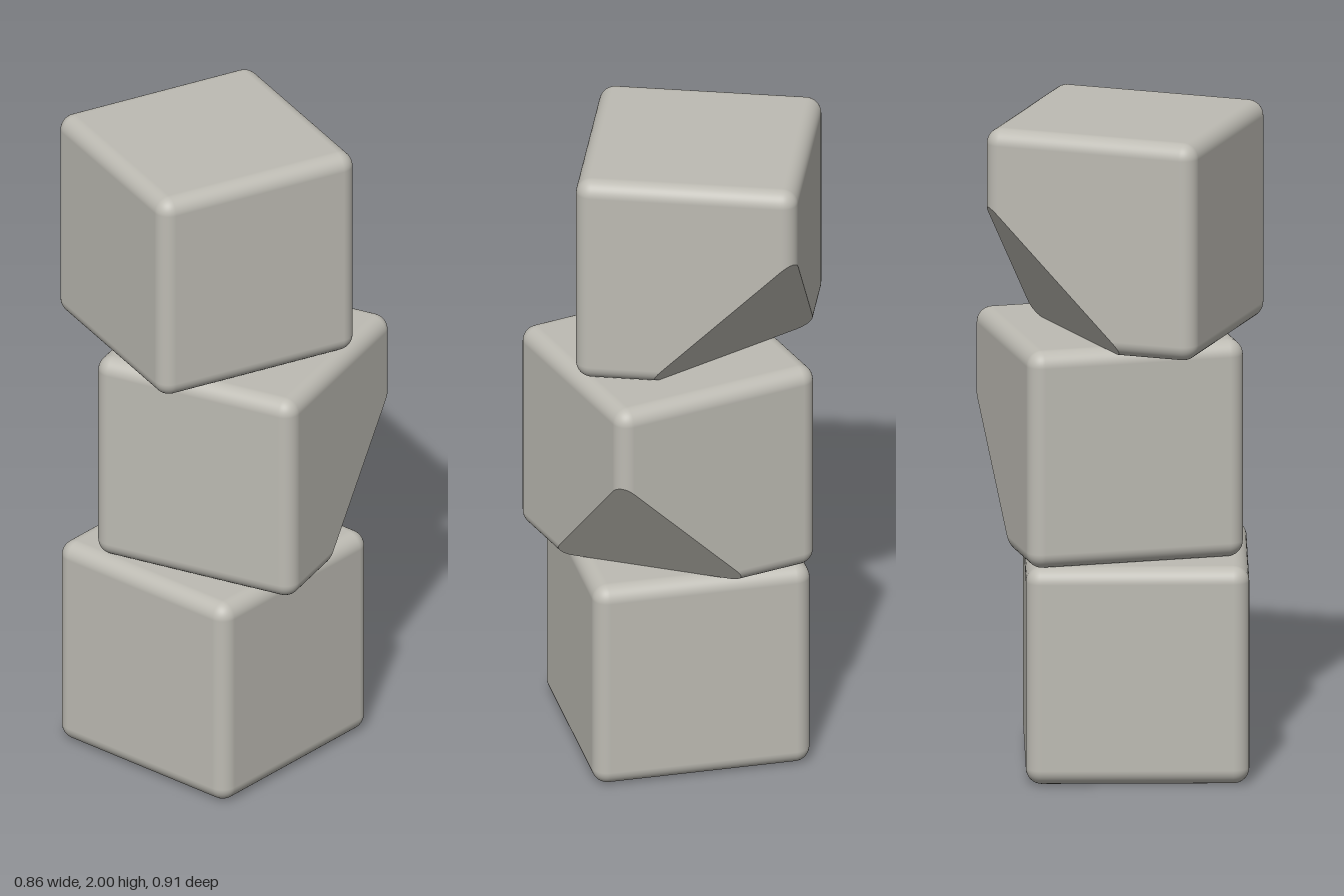
import * as THREE from 'three';
import { RoundedBoxGeometry } from 'three/addons/geometries/RoundedBoxGeometry.js';

const SIZE = 0.667;
const RADIUS = 0.048;

// Slices one corner off a rounded block and closes the hole with a flat cap.
function chipCorner(source, corner, depth) {
  const geo = source.index ? source.toNonIndexed() : source;
  const normal = corner.clone().normalize();
  const limit = (1.5 * SIZE - depth) / Math.sqrt(3);
  const p = geo.attributes.position, n = geo.attributes.normal;
  const positions = [], normals = [], rim = [];
  const push = (v) => {
    positions.push(...v.pos.toArray());
    normals.push(...v.nor.toArray());
  };

  // Clip every triangle against the cutting plane
  for (let i = 0; i < p.count; i += 3) {
    const tri = [0, 1, 2].map((k) => {
      const pos = new THREE.Vector3().fromBufferAttribute(p, i + k);
      const nor = new THREE.Vector3().fromBufferAttribute(n, i + k);
      return { pos, nor, d: pos.dot(normal) - limit };
    });
    const poly = [];
    tri.forEach((a, k) => {
      const b = tri[(k + 1) % 3];
      if (a.d <= 0) poly.push(a);
      if ((a.d <= 0) !== (b.d <= 0)) {
        const t = a.d / (a.d - b.d);
        const pos = a.pos.clone().lerp(b.pos, t);
        poly.push({ pos, nor: a.nor.clone().lerp(b.nor, t).normalize() });
        rim.push(pos);
      }
    });
    for (let k = 1; k + 1 < poly.length; k++) [poly[0], poly[k], poly[k + 1]].forEach(push);
  }

  // Fan the cap around the middle of the rim
  const centre = rim.reduce((s, v) => s.add(v), new THREE.Vector3()).divideScalar(rim.length);
  const u = rim[0].clone().sub(centre).normalize();
  const w = normal.clone().cross(u);
  const angle = (v) => {
    const r = v.clone().sub(centre);
    return Math.atan2(r.dot(w), r.dot(u));
  };
  rim.sort((a, b) => angle(a) - angle(b));
  rim.forEach((a, k) => {
    [centre, a, rim[(k + 1) % rim.length]].forEach((pos) => push({ pos, nor: normal }));
  });

  const out = new THREE.BufferGeometry();
  out.setAttribute('position', new THREE.Float32BufferAttribute(positions, 3));
  out.setAttribute('normal', new THREE.Float32BufferAttribute(normals, 3));
  return out;
}

export function createModel() {
  const group = new THREE.Group();
  group.name = 'stackedBlocks';
  const stone = new THREE.MeshStandardMaterial({ color: 0xbdbbb3 });
  stone.name = 'warm grey stone';

  // Each block: position, twist about y, and the corner chipped away
  const blocks = [
    { name: 'bottomBlock', x: -0.068, z: 0, turn: 0.105 },
    { name: 'middleBlock', x: 0.015, z: 0.042, turn: 0.35, chip: [1, -1, 1], depth: 0.44 },
    { name: 'topBlock', x: -0.04, z: -0.058, turn: -0.25, chip: [1, -1, -1], depth: 0.455 },
  ];
  blocks.forEach(({ name, x, z, turn, chip, depth }, i) => {
    let geo = new RoundedBoxGeometry(SIZE, SIZE, SIZE, 5, RADIUS);
    if (chip) geo = chipCorner(geo, new THREE.Vector3(...chip), depth);
    const mesh = new THREE.Mesh(geo, stone);
    mesh.name = name;
    mesh.position.set(x, SIZE / 2 + i * (1 - SIZE / 2), z);
    mesh.rotation.y = turn;
    group.add(mesh);
  });
  return group;
}
